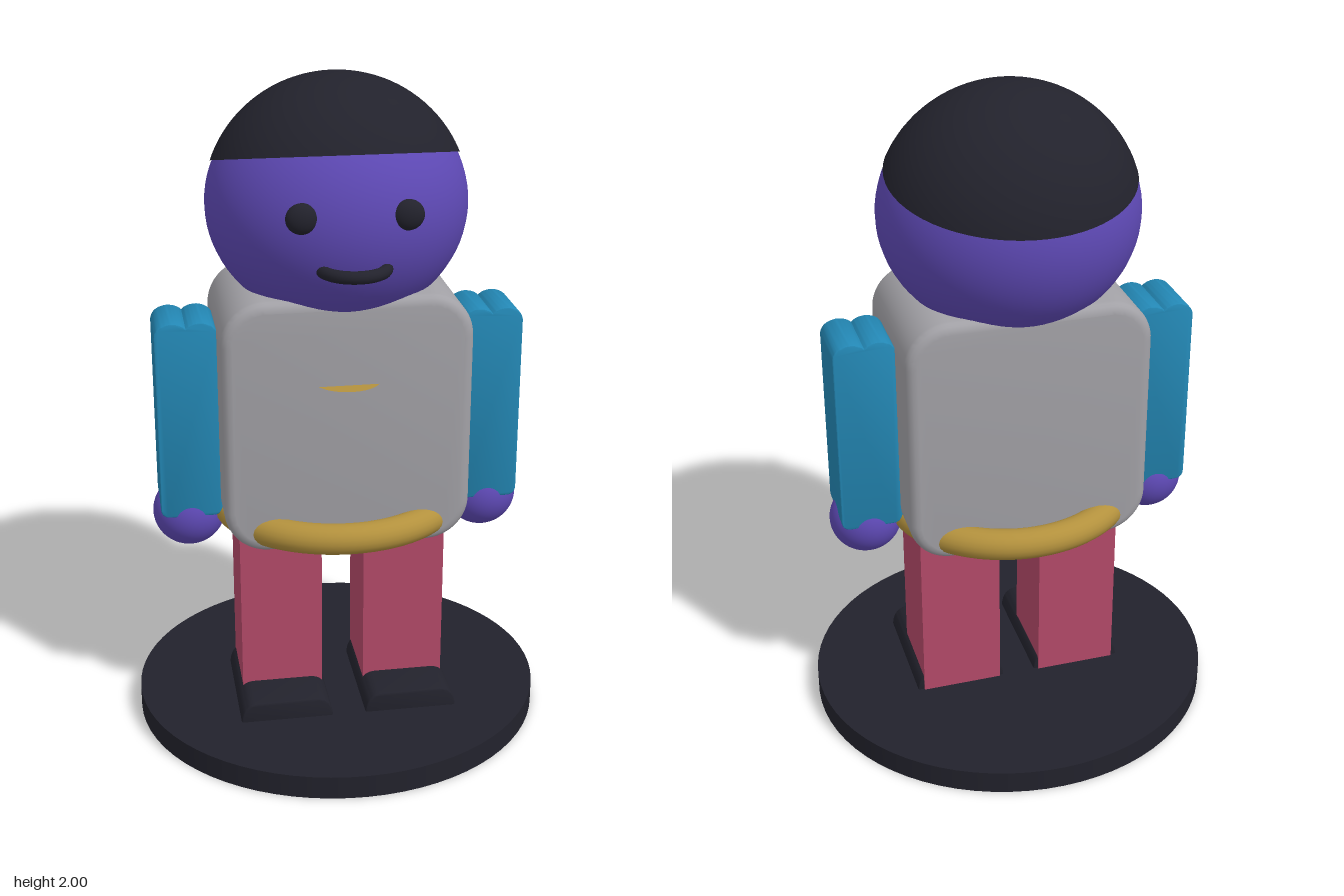
import * as THREE from 'three';
import { toCreasedNormals } from 'three/addons/utils/BufferGeometryUtils.js';

const mat = (name, color) => {
  const m = new THREE.MeshStandardMaterial({ color });
  m.name = name;
  return m;
};

// Rounded rectangle centred on the origin
function roundedRect(w, h, r) {
  const x = w / 2, y = h / 2, s = new THREE.Shape();
  s.absarc(x - r, y - r, r, 0, Math.PI / 2);
  s.absarc(-x + r, y - r, r, Math.PI / 2, Math.PI);
  s.absarc(-x + r, -y + r, r, Math.PI, Math.PI * 1.5);
  s.absarc(x - r, -y + r, r, Math.PI * 1.5, Math.PI * 2);
  s.closePath();
  return s;
}

// Extrude along z, centred, with the bevel kept inside the outline
function slab(shape, depth, bevel) {
  const g = new THREE.ExtrudeGeometry(shape, {
    depth: depth - 2 * bevel, bevelEnabled: bevel > 0, bevelThickness: bevel,
    bevelSize: bevel, bevelOffset: -bevel, bevelSegments: 4, curveSegments: 10,
  });
  g.translate(0, 0, -depth / 2 + bevel);
  return toCreasedNormals(g, 0.6);
}

export function createModel() {
  const model = new THREE.Group();
  const dark = mat('charcoal', 0x22222c);
  const skin = mat('purple skin', 0x5e49b5);
  const shirt = mat('grey shirt', 0xa2a1a6);
  const sleeve = mat('blue sleeve', 0x2387b4);
  const trousers = mat('rose trousers', 0xb44a69);
  const gold = mat('gold', 0xb3913d);

  const add = (name, geometry, material, x = 0, y = 0, z = 0) => {
    const mesh = new THREE.Mesh(geometry, material);
    mesh.name = name;
    mesh.position.set(x, y, z);
    model.add(mesh);
    return mesh;
  };

  // Oval stand
  add('base', new THREE.CylinderGeometry(0.63, 0.63, 0.072, 72), dark, 0, 0.036)
    .scale.z = 0.593 / 0.63;

  // Torso and belt
  add('torso', slab(roundedRect(0.73, 0.77, 0.13), 0.474, 0.03), shirt, 0, 1.02);
  const beltGeometry = new THREE.TorusGeometry(0.305, 0.046, 20, 72).rotateX(Math.PI / 2);
  add('belt', beltGeometry, gold, 0, 0.697).scale.x = 1.1;

  // Thin disc set into the chest, its front edge showing
  const disc = new THREE.CircleGeometry(0.1, 32).rotateX(-Math.PI / 2);
  add('chestDisc', disc, gold, 0, 1.15, 0.19);

  // Head and tilted hair cap
  const ball = new THREE.SphereGeometry(1, 56, 40);
  add('head', ball, skin, 0, 1.63).scale.set(0.38, 0.347, 0.357);
  const cap = new THREE.SphereGeometry(1, 64, 28, 0, Math.PI * 2, 0, 1.218).rotateX(-0.217);
  const hairMaterial = dark.clone();
  hairMaterial.side = THREE.DoubleSide;
  add('hair', cap, hairMaterial, 0, 1.63).scale.set(0.382, 0.37, 0.36);

  // Mouth: front half of a small ring
  const mouth = new THREE.TorusGeometry(0.09, 0.018, 14, 32, Math.PI).rotateX(Math.PI / 2);
  add('mouth', mouth, dark, 0, 1.517, 0.303);

  // Sleeve outline with a shallow groove along its top
  const arm = new THREE.Shape();
  arm.moveTo(-0.0925, 0.03);
  arm.lineTo(-0.0925, 0.57);
  arm.quadraticCurveTo(-0.088, 0.604, -0.045, 0.61);
  arm.quadraticCurveTo(-0.015, 0.61, 0, 0.594);
  arm.quadraticCurveTo(0.015, 0.61, 0.045, 0.61);
  arm.quadraticCurveTo(0.088, 0.604, 0.0925, 0.57);
  arm.lineTo(0.0925, 0.03);
  arm.quadraticCurveTo(0.0925, 0, 0.0625, 0);
  arm.lineTo(-0.0625, 0);
  arm.quadraticCurveTo(-0.0925, 0, -0.0925, 0.03);
  const armGeometry = slab(arm, 0.19, 0.004);

  const legGeometry = new THREE.BoxGeometry(0.25, 0.6, 0.245);

  // Shoe cross-section, rounded at the top
  const shoe = new THREE.Shape();
  shoe.moveTo(-0.142, 0);
  shoe.lineTo(0.142, 0);
  shoe.quadraticCurveTo(0.14, 0.066, 0.09, 0.068);
  shoe.lineTo(-0.09, 0.068);
  shoe.quadraticCurveTo(-0.14, 0.066, -0.142, 0);
  const shoeGeometry = slab(shoe, 0.375, 0.006);

  // Mirrored parts
  for (const [side, s] of [['left', 1], ['right', -1]]) {
    add(side + 'Eye', ball, dark, s * 0.145, 1.667, 0.325).scale.set(0.045, 0.043, 0.028);
    add(side + 'Arm', armGeometry, sleeve, s * 0.4525, 0.702);
    add(side + 'Hand', ball, skin, s * 0.455, 0.685).scale.set(0.11, 0.108, 0.105);
    add(side + 'Leg', legGeometry, trousers, s * 0.19, 0.37, 0.002);
    add(side + 'Shoe', shoeGeometry, dark, s * 0.1925, 0.065, 0.0725);
  }

  return model;
}
